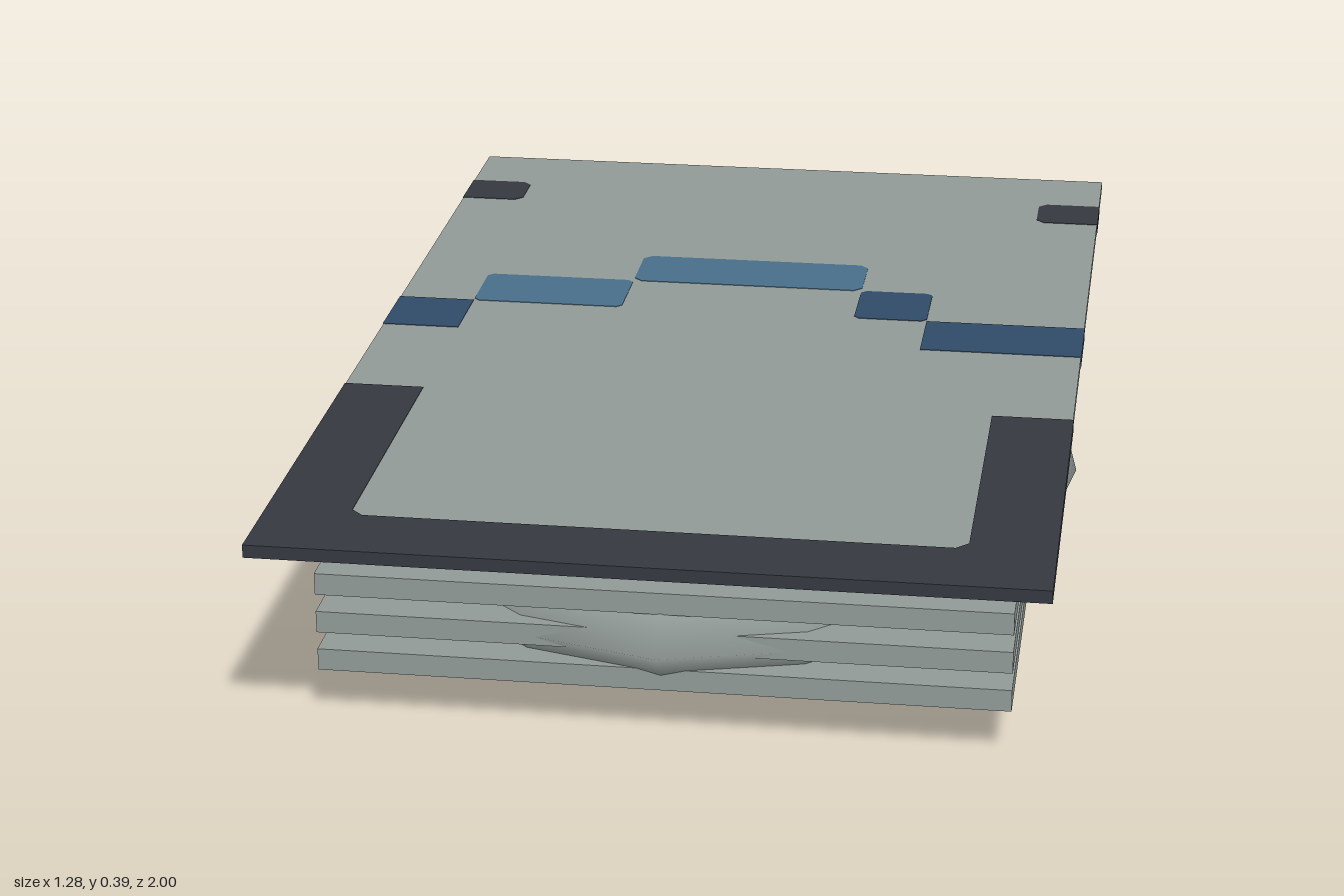
import * as THREE from 'three';

const mat = (name, color) => {
  const m = new THREE.MeshStandardMaterial({ color });
  m.name = name;
  return m;
};

export function createModel() {
  const grey = mat('stone grey', 0x929b98);
  const dark = mat('charcoal', 0x353940);
  const blue = mat('steel blue', 0x496f8b);
  const navy = mat('navy blue', 0x304a68);

  const model = new THREE.Group();
  const add = (name, geometry, material, y) => {
    const mesh = new THREE.Mesh(geometry, material);
    mesh.name = name;
    mesh.position.y = y;
    model.add(mesh);
    return mesh;
  };

  // Flattened core bulging through the stack
  const core = new THREE.SphereGeometry(1, 16, 8).scale(0.64, 0.171, 0.877);
  add('core', core, grey, 0.172);

  // Four evenly spaced slabs
  for (let i = 0; i < 4; i++) {
    add('slab' + (i + 1), new THREE.BoxGeometry(1.15, 0.038, 1.64), grey, 0.108 + i * 0.0685);
  }

  // Top plate
  const plateY = 0.3815;
  add('topPlate', new THREE.BoxGeometry(1.28, 0.02, 2), grey, plateY);

  // Inlays run through the plate, a hair proud of its faces; points are [x, z]
  const inlay = (name, points, material) => {
    const shape = new THREE.Shape(points.map(([x, z]) => new THREE.Vector2(x, -z)));
    const depth = 0.022;
    const geometry = new THREE.ExtrudeGeometry(shape, { depth, bevelEnabled: false });
    geometry.translate(0, 0, -depth / 2).rotateX(-Math.PI / 2);
    add(name, geometry, material, plateY);
  };

  // Rectangle with cut corners
  const panel = (x0, x1, z0, z1, c = 0.015) => [
    [x0 + c, z0], [x1 - c, z0], [x1, z0 + c], [x1, z1 - c],
    [x1 - c, z1], [x0 + c, z1], [x0, z1 - c], [x0, z0 + c],
  ];
  const edge = 0.641;

  // U-shaped front border
  inlay('frontBorder', [
    [-edge, 0.3], [-0.5, 0.3], [-0.5, 0.84], [-0.48, 0.86], [0.48, 0.86], [0.5, 0.84],
    [0.5, 0.3], [edge, 0.3], [edge, 1.001], [-edge, 1.001],
  ], dark);

  // Small rear marks at both edges
  for (const s of [-1, 1]) {
    inlay(s > 0 ? 'leftRearMark' : 'rightRearMark', [
      [s * edge, -0.84], [s * 0.535, -0.84], [s * 0.52, -0.825],
      [s * 0.52, -0.745], [s * 0.535, -0.73], [s * edge, -0.73],
    ], dark);
  }

  // Stepped arch of blue panels
  inlay('archCentre', panel(-0.22, 0.215, -0.43, -0.29), blue);
  inlay('archRightStep', panel(-0.5, -0.22, -0.29, -0.145, 0.01), blue);
  inlay('archLeftStep', panel(0.215, 0.35, -0.29, -0.145, 0.01), navy);
  inlay('archRightEnd', panel(-edge, -0.5, -0.145, 0, 0), navy);
  inlay('archLeftEnd', panel(0.35, edge, -0.145, 0, 0), navy);

  return model;
}
